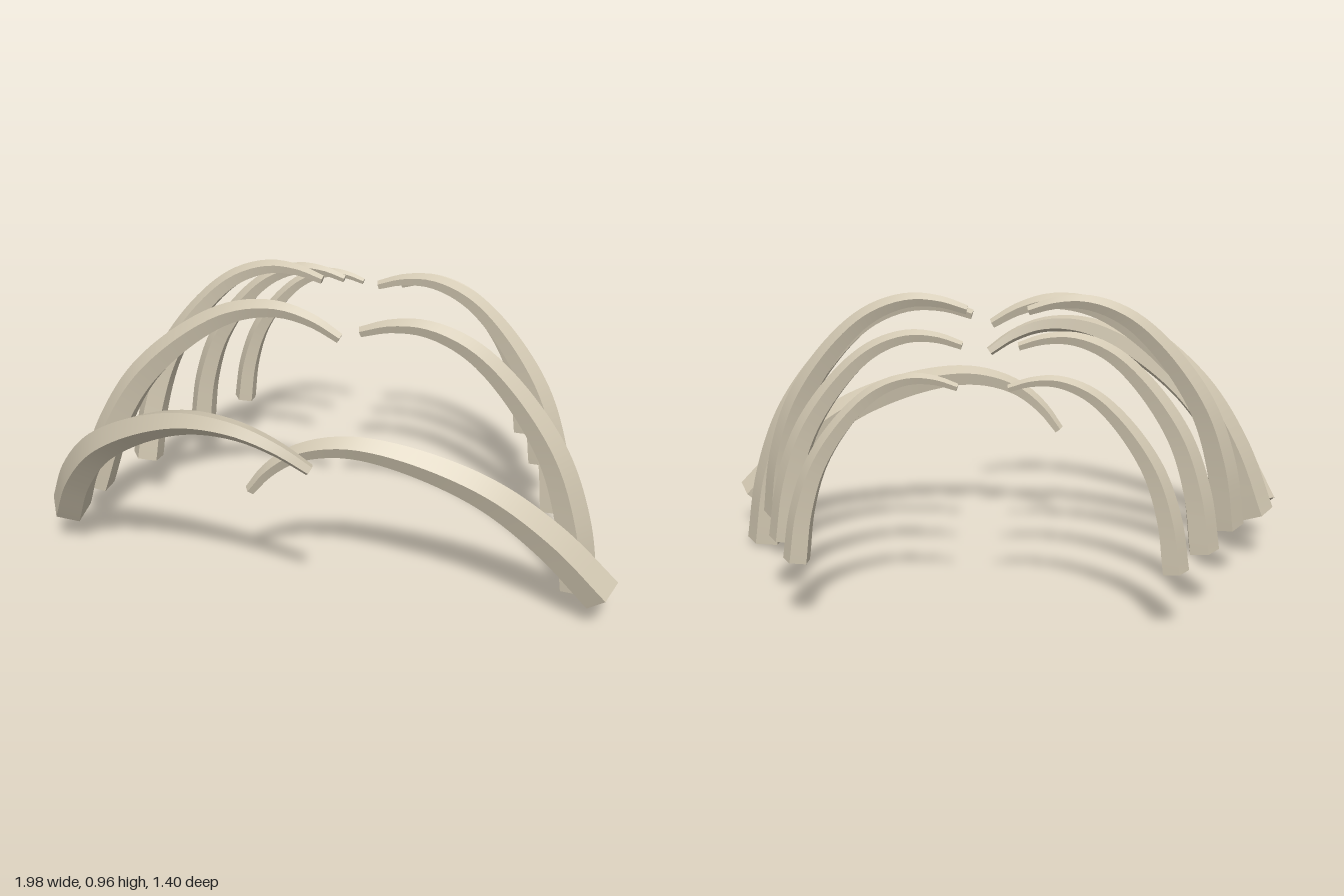
import * as THREE from 'three';

const SIDES = 5, STEPS = 40, LENGTH = 1.129;

// Centre line of a full-size rib: distance along its chord, bulge away from it
const centreLine = new THREE.CatmullRomCurve3([
  [0, 0], [0.205, 0.138], [0.432, 0.237], [0.696, 0.273],
  [0.875, 0.253], [1.007, 0.185], [1.085, 0.093], [LENGTH, 0],
].map(([a, o]) => new THREE.Vector3(a, o, 0)));

// Tapered five-sided rib, ridge outward, smooth along its length with sharp long edges
function ribGeometry() {
  const rings = [];
  for (let i = 0; i <= STEPS; i++) {
    const t = i / STEPS;
    const p = centreLine.getPointAt(t), tan = centreLine.getTangentAt(t);
    const out = new THREE.Vector3(-tan.y, tan.x, 0);
    const r = 0.066 - 0.048 * Math.pow(t, 1.4);
    const ring = [];
    for (let k = 0; k < SIDES; k++) {
      const a = (k / SIDES) * Math.PI * 2;
      ring.push(p.clone().addScaledVector(out, r * Math.cos(a))
        .add(new THREE.Vector3(0, 0, r * Math.sin(a))));
    }
    rings.push(ring);
  }
  const pos = [], idx = [];
  const add = (v) => pos.push(v.x, v.y, v.z) / 3 - 1;
  // each side has its own two columns of vertices
  for (let k = 0; k < SIDES; k++) {
    const start = pos.length / 3;
    rings.forEach((ring) => { add(ring[k]); add(ring[(k + 1) % SIDES]); });
    for (let i = 0; i < STEPS; i++) {
      const a = start + 2 * i, b = a + 1, c = a + 2, d = a + 3;
      idx.push(a, b, c, b, d, c);
    }
  }
  // flat end caps
  [[rings[0], true], [rings[STEPS], false]].forEach(([ring, flip]) => {
    const ids = ring.map(add);
    for (let k = 1; k < SIDES - 1; k++) {
      if (flip) idx.push(ids[0], ids[k + 1], ids[k]);
      else idx.push(ids[0], ids[k], ids[k + 1]);
    }
  });
  const g = new THREE.BufferGeometry();
  g.setAttribute('position', new THREE.Float32BufferAttribute(pos, 3));
  g.setIndex(idx);
  g.computeVertexNormals();
  return g;
}

export function createModel() {
  const group = new THREE.Group();
  group.name = 'ribCage';
  const bone = new THREE.MeshStandardMaterial({ color: 0xd0c6b0 });
  bone.name = 'bone';
  const geometry = ribGeometry();

  // Stretch a rib from base to tip, arching toward the given point
  function addRib(name, base, tip, bulge) {
    const b = new THREE.Vector3(...base);
    const along = new THREE.Vector3(...tip).sub(b);
    const scale = along.length() / LENGTH;
    along.normalize();
    const out = new THREE.Vector3(...bulge).sub(b);
    out.addScaledVector(along, -out.dot(along)).normalize();
    const side = new THREE.Vector3().crossVectors(along, out);
    const mesh = new THREE.Mesh(geometry, bone);
    mesh.name = name;
    mesh.quaternion.setFromRotationMatrix(new THREE.Matrix4().makeBasis(along, out, side));
    mesh.position.copy(b);
    mesh.scale.setScalar(scale);
    group.add(mesh);
  }

  // Standing ribs: scale, base height, base z, backward lean
  const standing = (name, sign, s, y, z, lean) => {
    const base = [-0.03 + sign * 0.875 * s, y, z];
    const tip = [-0.03 + sign * 0.115 * s, y + 0.835 * s, z - lean];
    addRib(name, base, tip, [base[0] + sign, y, z]);
  };
  [['rear', 0.65, 0.2, -0.66, 0], ['rearMiddle', 0.76, 0.193, -0.435, 0],
    ['middle', 0.87, 0.177, -0.112, 0.083]].forEach(([name, ...args]) => {
    standing(name + 'LeftRib', 1, ...args);
    standing(name + 'RightRib', -1, ...args);
  });
  standing('frontMiddleLeftRib', 1, 1, 0.01, 0.097, 0);

  // Slumped rib beside the front, and the two fallen front ribs
  addRib('frontMiddleRightRib', [-0.905, 0.16, 0.097], [0.015, 0.815, 0.097], [-1.9, 0.4, 0.097]);
  addRib('fallenRightRib', [-0.93, 0.14, 0.26], [0.08, 0.62, 0.655], [-0.25, 0.72, 0.65]);
  addRib('fallenLeftRib', [0.935, 0.12, 0.295], [-0.205, 0.375, 0.39], [0.22, 0.57, 0.38]);
  return group;
}
